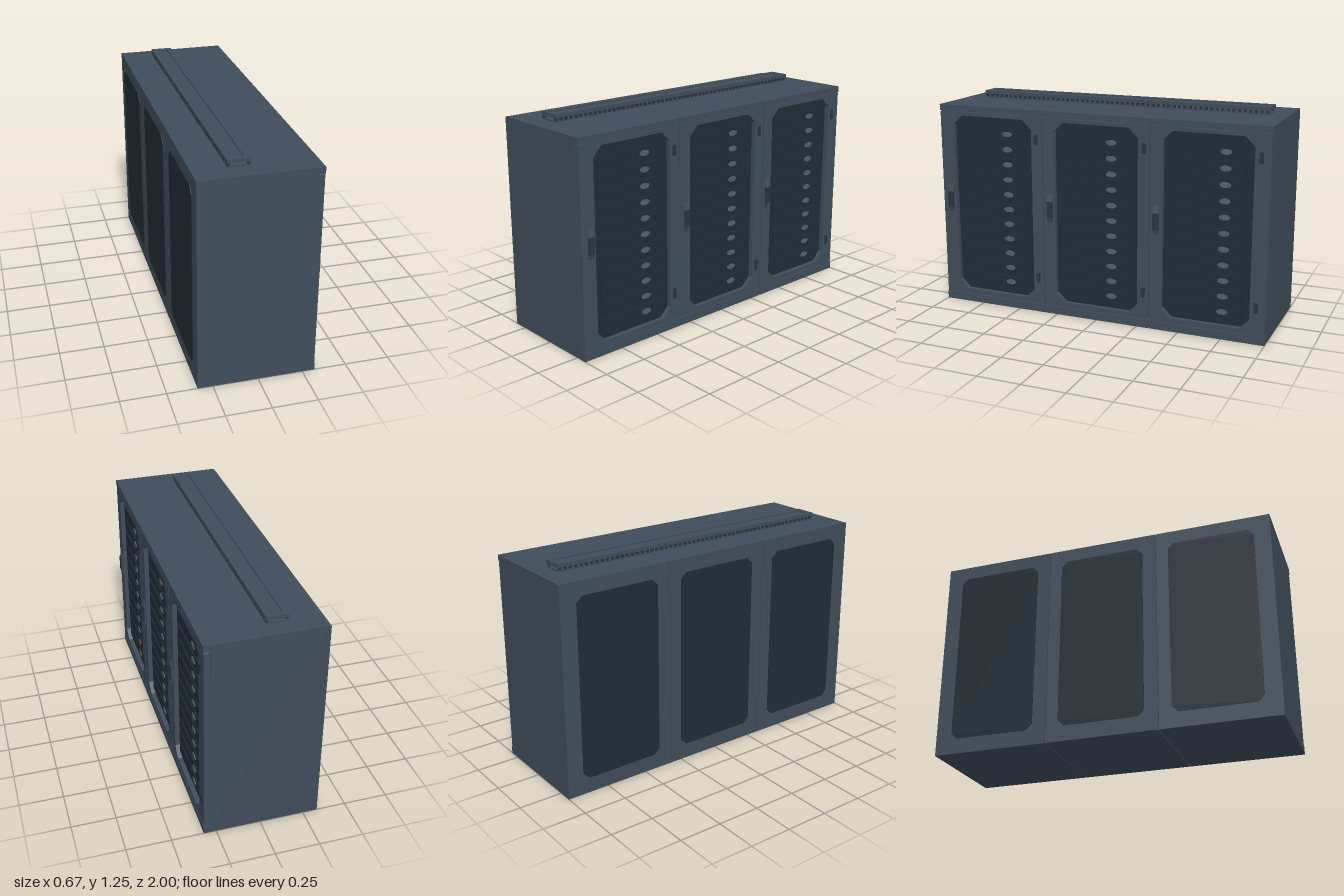
import * as THREE from 'three';

const material = (name, color, side = THREE.FrontSide) =>
  Object.assign(new THREE.MeshStandardMaterial({ color, side }), { name });

export function createModel() {
  const group = new THREE.Group();
  const steel = material('slate steel', 0x3f4d5a);
  const dark = material('dark glass', 0x202c34);
  const light = material('pale indicator', 0x53626a);
  const trim = material('dark trim', 0x2a353e);

  const add = (name, geometry, mat, parent = group) => {
    const mesh = new THREE.Mesh(geometry, mat);
    mesh.name = name;
    parent.add(mesh);
    return mesh;
  };
  // Box given by its limits on each axis
  const box = (name, mat, x0, x1, y0, y1, z0, z1, parent) => {
    const mesh = add(name, new THREE.BoxGeometry(x1 - x0, y1 - y0, z1 - z0), mat, parent);
    mesh.position.set((x0 + x1) / 2, (y0 + y1) / 2, (z0 + z1) / 2);
    return mesh;
  };
  // Rectangle with cut corners; u runs along -z
  const outline = (u0, u1, y0, y1, c, Type = THREE.Shape) =>
    new Type([[u0 + c, y0], [u1 - c, y0], [u1, y0 + c], [u1, y1 - c],
      [u1 - c, y1], [u0 + c, y1], [u0, y1 - c], [u0, y0 + c]].map(p => new THREE.Vector2(...p)));
  // Plate extruded along +x from a u-y shape
  const plate = (name, shape, mat, x, depth, parent) => {
    const geometry = new THREE.ExtrudeGeometry(shape, { depth, bevelEnabled: false });
    geometry.rotateY(Math.PI / 2);
    return add(name, geometry, mat, parent).position.setX(x);
  };

  const edges = [-1, -0.33, 0.325, 1];
  const windows = [-0.655, 0, 0.655];
  const handles = [-0.945, -0.285, 0.365];
  const hinges = [-0.37, 0.29, 0.945];
  const lamps = [-0.565, 0.09, 0.75];
  const gap = 0.002;

  for (let i = 0; i < 3; i++) {
    const cabinet = new THREE.Group();
    cabinet.name = 'cabinet' + (i + 1);
    group.add(cabinet);
    const u0 = edges[i] + (i ? gap : 0), u1 = edges[i + 1] - (i < 2 ? gap : 0);
    const w0 = windows[i] - 0.255, w1 = windows[i] + 0.255;

    // Shell and the rails above and below the door
    box('cabinetShell', steel, -0.333, 0.285, 0, 1.21, -u1, -u0, cabinet);
    box('topRail', steel, 0.285, 0.32, 1.174, 1.21, -u1, -u0, cabinet);
    box('bottomRail', steel, 0.285, 0.32, 0, 0.047, -u1, -u0, cabinet);

    // Door frame with an eight-sided opening
    const frame = outline(u0 + 0.002, u1 - 0.002, 0.05, 1.171, 0.003);
    frame.holes.push(outline(w0, w1, 0.08, 1.15, 0.055, THREE.Path));
    plate('doorFrame', frame, steel, 0.285, 0.033, cabinet);
    plate('doorPane', outline(w0, w1, 0.08, 1.15, 0.055), dark, 0.285, 0.006, cabinet);

    // Server units with one indicator each
    for (let k = 0; k < 11; k++) {
      const y = 0.155 + k * 0.09;
      box('serverUnit', dark, 0.29, 0.3, y - 0.036, y + 0.036, -w1 + 0.05, -w0 - 0.04, cabinet);
      const lamp = add('indicator', new THREE.CylinderGeometry(0.016, 0.016, 0.004, 10), light, cabinet);
      lamp.rotation.z = -Math.PI / 2;
      lamp.scale.z = 2;
      lamp.position.set(0.302, y, -lamps[i]);
    }

    // Tapered handle with a dark grip
    const grip = new THREE.Shape([[0, 0.56], [0.015, 0.6], [0.015, 0.675], [0, 0.73]]
      .map(p => new THREE.Vector2(...p)).reverse());
    const handle = add('handle', new THREE.ExtrudeGeometry(grip, { depth: 0.034, bevelEnabled: false }), steel, cabinet);
    handle.position.set(0.317, 0, -handles[i] - 0.017);
    box('handleGrip', trim, 0.325, 0.333, 0.59, 0.685, -handles[i] - 0.018, -handles[i] + 0.018, cabinet);

    // Hinges
    for (const y of [0.21, 1.04]) {
      box('hinge', trim, 0.314, 0.321, y - 0.03, y + 0.03, -hinges[i] - 0.012, -hinges[i] + 0.012, cabinet);
    }

    // Rear dark panel
    plate('rearPanel', outline(w0 + 0.005, w1 - 0.005, 0.09, 1.13, 0.035), dark, -0.336, 0.006, cabinet);
  }

  // Cable tray along the roof
  const tray = new THREE.Group();
  tray.name = 'cableTray';
  group.add(tray);
  box('trayBase', steel, -0.148, -0.032, 1.208, 1.217, -0.895, 0.885, tray);
  box('trayFloor', steel, -0.14, -0.04, 1.233, 1.246, -0.895, 0.885, tray);
  for (const x of [-0.152, -0.058]) {
    box('trayRim', steel, x, x + 0.03, 1.233, 1.253, -0.9, 0.89, tray);
  }
  for (const z of [-0.9, 0.86]) {
    box('trayEnd', steel, -0.152, -0.028, 1.233, 1.253, z, z + 0.03, tray);
  }
  for (let k = 0; k < 56; k++) {
    const z = -0.89 + k * 0.032;
    for (const x of [-0.148, -0.044]) {
      box('trayPost', trim, x, x + 0.012, 1.215, 1.235, z, z + 0.016, tray);
    }
  }
  return group;
}
